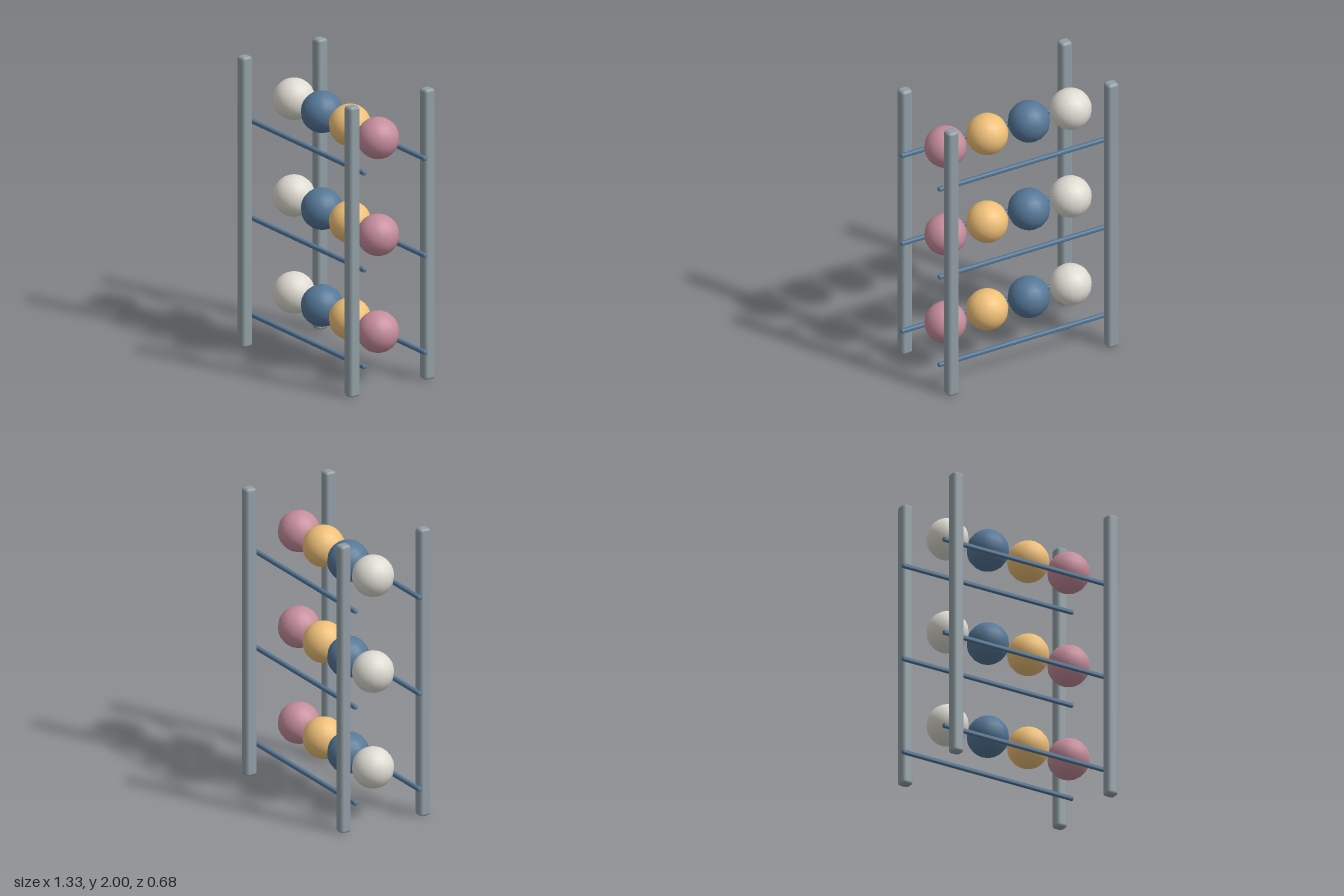
import * as THREE from 'three';
import { RoundedBoxGeometry } from 'three/addons/geometries/RoundedBoxGeometry.js';

const paint = (color) => new THREE.MeshStandardMaterial({ color });

export function createModel() {
  const group = new THREE.Group();
  const steel = paint(0x929fa6);
  const blue = paint(0x557797);
  const ballPaints = [paint(0xdedbd2), blue, paint(0xefc078), paint(0xc68d9c)];

  const add = (name, geometry, material, x, y, z) => {
    const mesh = new THREE.Mesh(geometry, material);
    mesh.name = name;
    mesh.position.set(x, y, z);
    group.add(mesh);
  };

  const postGeometry = new RoundedBoxGeometry(0.08, 2, 0.08, 1, 0.02);
  const railGeometry = new RoundedBoxGeometry(1.33, 0.03, 0.03, 1, 0.01);
  const ballGeometry = new THREE.SphereGeometry(0.139, 16, 12);

  // Four chamfered corner posts
  for (const x of [-0.6, 0.6]) {
    for (const z of [-0.3, 0.3]) {
      add(`${z > 0 ? 'front' : 'back'}${x > 0 ? 'Left' : 'Right'}Post`, postGeometry, steel, x, 1, z);
    }
  }

  // Three tiers, each with a front and back rail and a row of balls
  for (let tier = 0; tier < 3; tier++) {
    const y = 0.205 + tier * 0.667;
    add(`frontRail${tier + 1}`, railGeometry, blue, 0, y, 0.242);
    add(`backRail${tier + 1}`, railGeometry, blue, 0, y, -0.242);
    ballPaints.forEach((material, i) => {
      add(`ball${tier + 1}_${i + 1}`, ballGeometry, material, -0.47 + i * 0.3133, y + 0.141, 0);
    });
  }
  return group;
}
